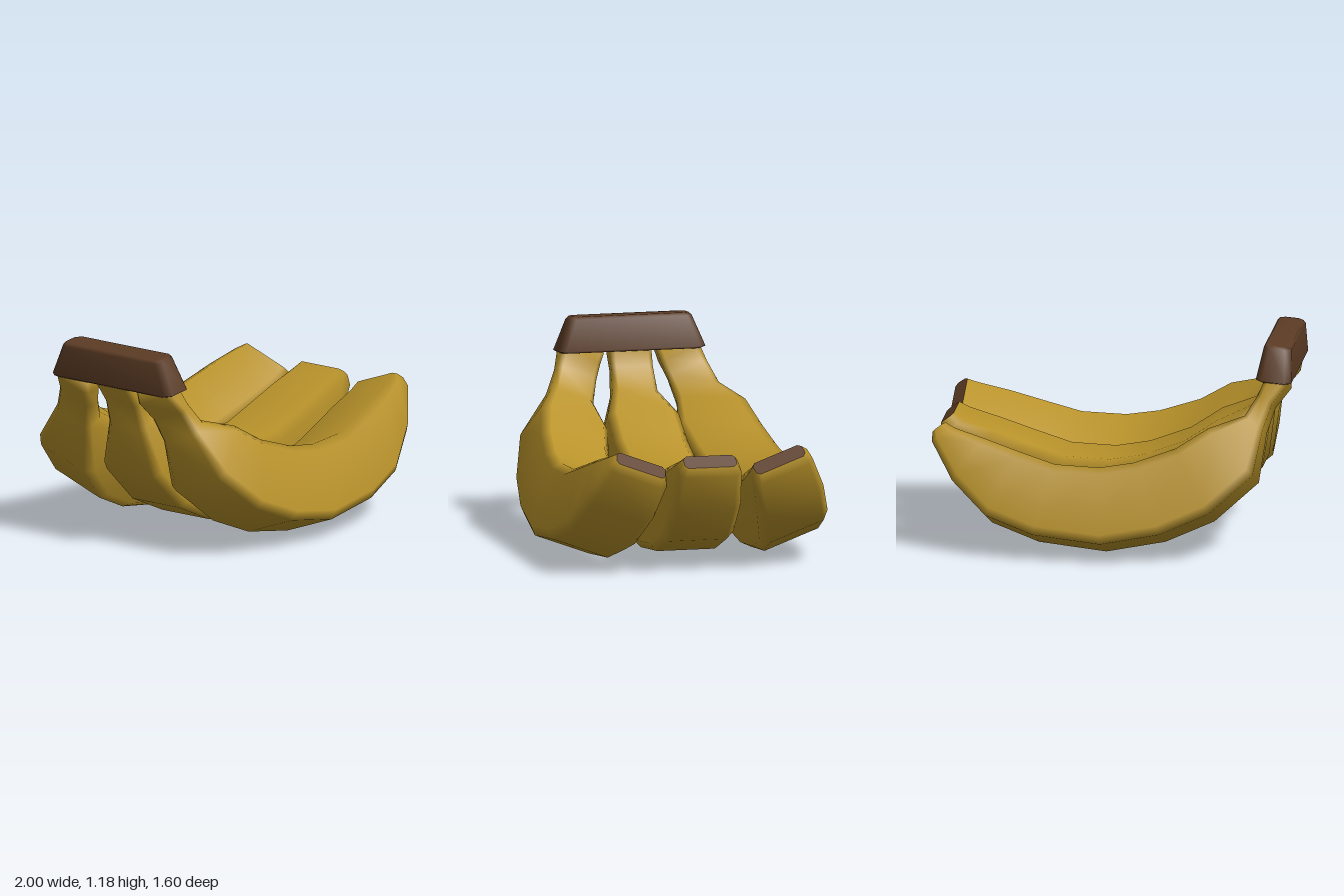
import * as THREE from 'three';

const yellow = new THREE.MeshStandardMaterial({ color: 0xb8922a });
yellow.name = 'ripe yellow';
const brown = new THREE.MeshStandardMaterial({ color: 0x5c3c25 });
brown.name = 'stem brown';

// One cross-section: a chamfered rectangle spanning top to bottom point, half width w in z
function ring([tx, ty, bx, by, w, c]) {
  const k = c / Math.hypot(tx - bx, ty - by);
  return [
    [1, w - c], [1 - k, w], [k, w], [0, w - c],
    [0, c - w], [k, -w], [1 - k, -w], [1, c - w],
  ].map(([t, z]) => [bx + (tx - bx) * t, by + (ty - by) * t, z]);
}

// Fan triangles over ring number r
function fan(r, flip) {
  const out = [];
  for (let j = 1; j < 7; j++) {
    const [a, b] = flip ? [j + 1, j] : [j, j + 1];
    out.push(r * 8, r * 8 + a, r * 8 + b);
  }
  return out;
}

function build(rings, index) {
  const g = new THREE.BufferGeometry();
  g.setAttribute('position', new THREE.Float32BufferAttribute(rings.flat(2), 3));
  g.setIndex(index);
  g.computeVertexNormals();
  return g;
}

// Skin a row of cross-sections
function loft(sections, closeEnd) {
  const index = fan(0, true);
  for (let i = 0; i < sections.length - 1; i++) {
    for (let j = 0; j < 8; j++) {
      const a = i * 8 + j, b = i * 8 + (j + 1) % 8;
      index.push(a, b, a + 8, b, b + 8, a + 8);
    }
  }
  if (closeEnd) index.push(...fan(sections.length - 1, false));
  return build(sections.map(ring), index);
}

function mesh(name, geometry, material) {
  const m = new THREE.Mesh(geometry, material);
  m.name = name;
  return m;
}

// Fruit sections from stem to tip: top x, y, bottom x, y, half width, chamfer
const fruit = [
  [-0.85, 1.05, -0.97, 1.04, 0.12, 0.025],
  [-0.845, 0.985, -0.98, 0.97, 0.12, 0.025],
  [-0.815, 0.905, -0.895, 0.855, 0.12, 0.025],
  [-0.745, 0.785, -0.85, 0.71, 0.13, 0.03],
  [-0.55, 0.70, -0.81, 0.44, 0.205, 0.045],
  [-0.37, 0.58, -0.57, 0.217, 0.21, 0.045],
  [-0.14, 0.495, -0.30, 0.094, 0.21, 0.045],
  [0.05, 0.462, 0.03, 0.03, 0.21, 0.045],
  [0.30, 0.473, 0.41, 0.073, 0.21, 0.045],
  [0.50, 0.537, 0.68, 0.174, 0.21, 0.045],
  [0.70, 0.606, 0.875, 0.366, 0.205, 0.045],
  [0.87, 0.662, 1.0, 0.585, 0.18, 0.035],
  [0.93, 0.695, 1.0, 0.64, 0.15, 0.02],
];

export function createModel() {
  const group = new THREE.Group();
  group.name = 'bananaBunch';

  const skin = loft(fruit, false);
  const tip = build([ring(fruit[fruit.length - 1])], fan(0, false));

  // Three fruits, the outer two splayed about the stem
  for (const [name, side] of [['backBanana', -1], ['middleBanana', 0], ['frontBanana', 1]]) {
    const banana = new THREE.Group();
    banana.name = name;
    const parts = [mesh('skin', skin, yellow), mesh('tip', tip, brown)];
    for (const p of parts) p.position.y = -0.98;
    banana.add(...parts);
    banana.position.set(0, side ? 0.955 : 0.98, side * 0.287);
    banana.rotation.x = -side * THREE.MathUtils.degToRad(20.5);
    group.add(banana);
  }

  // Crown joining the stems: a tapered, bevelled block
  group.add(mesh('crown', loft([
    [-0.985, 0.976, -0.815, 0.99, 0.40, 0.03],
    [-1.0, 0.985, -0.80, 1.003, 0.422, 0.035],
    [-0.995, 1.16, -0.838, 1.175, 0.352, 0.035],
    [-0.985, 1.178, -0.85, 1.19, 0.335, 0.03],
  ], true), brown));

  return group;
}
